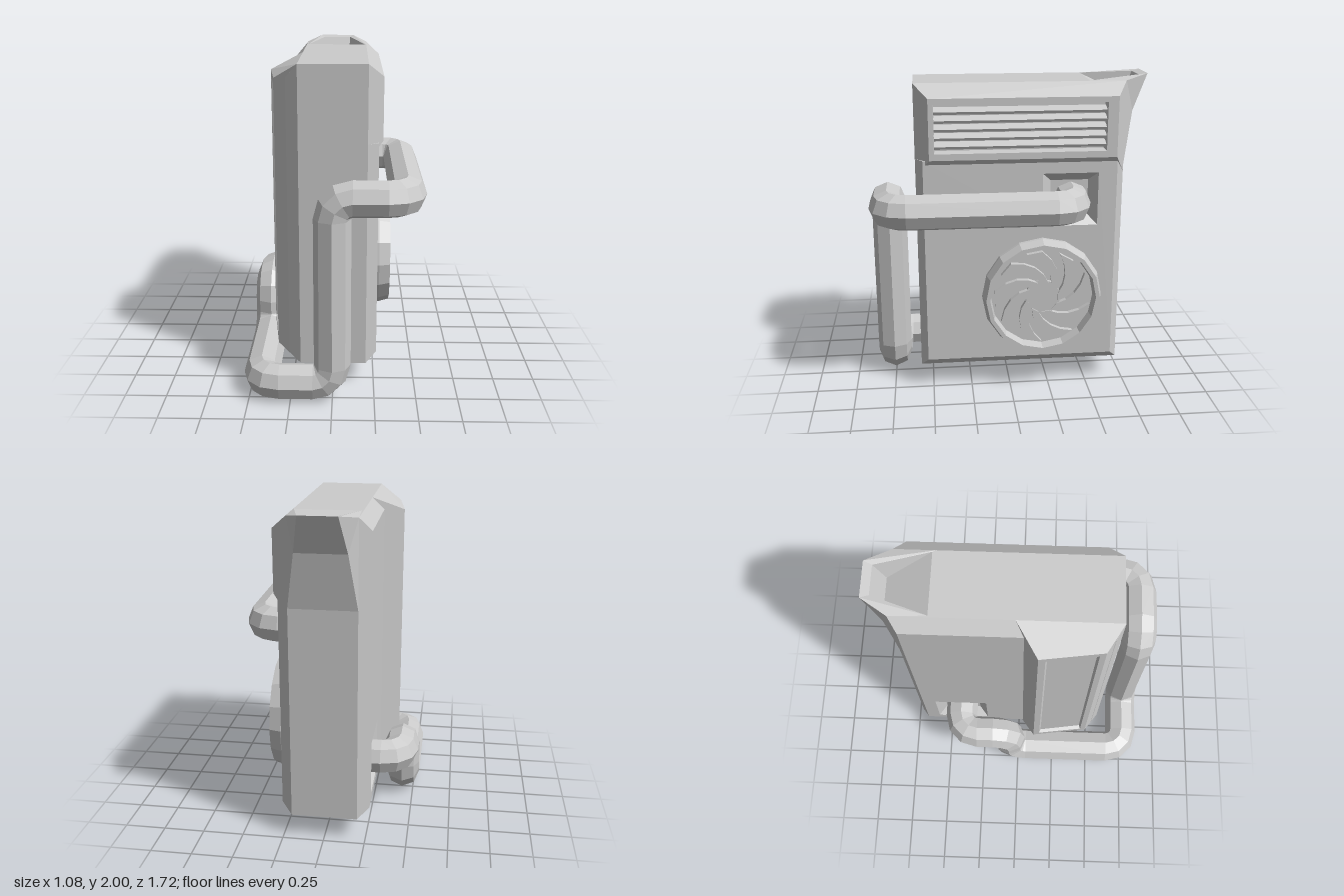
import * as THREE from 'three';

const material = new THREE.MeshStandardMaterial({ color: 0xcccccc, flatShading: true, side: THREE.DoubleSide });
const V = (x, y, z) => new THREE.Vector3(x, y, z);

function add(group, name, geometry) {
  const mesh = new THREE.Mesh(geometry, material);
  mesh.name = name;
  group.add(mesh);
  return mesh;
}

// Flat polygons, each split into a fan of triangles
function polygons(faces) {
  const points = [];
  for (const f of faces)
    for (let i = 1; i < f.length - 1; i++) points.push(f[0], f[i], f[i + 1]);
  const g = new THREE.BufferGeometry().setFromPoints(points);
  g.computeVertexNormals();
  return g;
}

// Skin over successive closed loops, optionally closed by the last loop
function loft(loops, cap = false) {
  const faces = [];
  for (let k = 0; k < loops.length - 1; k++) {
    const a = loops[k], b = loops[k + 1], n = a.length;
    for (let i = 0; i < n; i++) {
      const j = (i + 1) % n;
      faces.push([a[i], a[j], b[j], b[i]]);
    }
  }
  if (cap) faces.push(loops[loops.length - 1]);
  return polygons(faces);
}

// Upright rectangle facing sideways; xFront lets its front edge sit at another depth
function rect(x, z0, z1, y0, y1, xFront = x) {
  const loop = [V(xFront, y0, z1), V(x, y0, z0), V(x, y1, z0), V(xFront, y1, z1)];
  return x > 0 ? loop : loop.reverse();
}

const mirror = (face) => face.map((p) => V(-p.x, p.y, p.z)).reverse();

// Core faces with the pouring spout at the back of the top
function core() {
  const F = V(0.2, 1.97, -0.47), C = V(0.2, 1.97, -0.71);
  const low = V(0.2, 1.45, -0.71), mid = V(0.15, 1.78, -0.765), tip = V(0.11, 2, -0.86);
  const pitFront = V(0.19, 1.97, -0.49), pitBack = V(0.09, 1.99, -0.81), floor = V(0.08, 1.85, -0.75);
  const m = (p) => V(-p.x, p.y, p.z);
  const span = (a, b) => [a, m(a), m(b), b];
  const half = [
    [low, mid, C], [mid, tip, C],
    [F, C, tip, pitBack, pitFront],
    [pitFront, pitBack, floor],
  ];
  return polygons([
    ...half, ...half.map(mirror),
    span(V(0.2, 1.97, 0.575), V(0.2, 0.14, 0.575)),
    span(V(0.2, 0.14, 0.575), V(0.2, 0.14, -0.71)),
    span(V(0.2, 0.14, -0.71), low), span(low, mid), span(mid, tip),
    span(tip, pitBack), span(pitBack, floor), span(floor, pitFront),
    span(pitFront, F), span(F, V(0.2, 1.97, 0.575)),
  ]);
}

// Eight-sided pipe along straight runs with rounded corners
function pipe(corners, radius, bend, steps = 3) {
  const path = [];
  const dir = (i) => corners[i + 1].clone().sub(corners[i]).normalize();
  path.push([corners[0], dir(0)]);
  for (let i = 1; i < corners.length - 1; i++) {
    const d0 = dir(i - 1), d1 = dir(i);
    const centre = corners[i].clone().addScaledVector(d0, -bend).addScaledVector(d1, bend);
    for (let k = 0; k <= steps; k++) {
      const t = (k / steps) * Math.PI / 2, c = Math.cos(t), s = Math.sin(t);
      path.push([
        centre.clone().addScaledVector(d1, -bend * c).addScaledVector(d0, bend * s),
        d0.clone().multiplyScalar(c).addScaledVector(d1, s).normalize(),
      ]);
    }
  }
  path.push([corners[corners.length - 1], dir(corners.length - 2)]);
  const normal = V(0, 1, 0), turn = new THREE.Quaternion();
  let last = path[0][1];
  return loft(path.map(([p, t]) => {
    normal.applyQuaternion(turn.setFromUnitVectors(last, t));
    last = t;
    const side = t.clone().cross(normal);
    return Array.from({ length: 8 }, (_, k) => p.clone()
      .addScaledVector(normal, radius * Math.cos(k * Math.PI / 4))
      .addScaledVector(side, radius * Math.sin(k * Math.PI / 4)));
  }));
}

// One swept fan blade, drawn between two spiral edges
function bladeGeometry() {
  const edge = (offset) => [0, 0.25, 0.5, 0.75, 1].map((t) => {
    const r = 0.1 + 0.205 * t, a = 1.05 * Math.pow(t, 0.8) + offset * (1.15 - 0.35 * t);
    return new THREE.Vector2(r * Math.cos(a), r * Math.sin(a));
  });
  const shape = new THREE.Shape([...edge(-0.2), ...edge(0.2).reverse()]);
  return new THREE.ExtrudeGeometry(shape, { depth: 0.035, bevelEnabled: false });
}

export function createModel() {
  const model = new THREE.Group();
  model.name = 'backpackTank';

  add(model, 'bodyAndSpout', core());

  // Left side: lower plate with hose pocket, raised grille frame above
  add(model, 'lowerSidePlate', loft([
    rect(0.2, -0.71, 0.575, 0.14, 1.515), rect(0.265, -0.66, 0.53, 0.2, 1.515),
    rect(0.265, -0.545, -0.2, 1.085, 1.42), rect(0.21, -0.49, -0.255, 1.14, 1.365),
  ], true));
  add(model, 'grilleFrame', loft([
    rect(0.2, -0.71, 0.575, 1.412, 1.97), rect(0.29, -0.65, 0.49, 1.52, 1.89),
    rect(0.29, -0.585, 0.46, 1.56, 1.855), rect(0.215, -0.58, 0.455, 1.565, 1.85),
  ], true));
  for (let i = 0; i < 5; i++) {
    const slat = add(model, 'grilleSlat', new THREE.BoxGeometry(0.055, 0.018, 1.04));
    slat.position.set(0.248, 1.604 + i * 0.052, -0.0625);
    slat.rotation.z = -0.45;
  }

  // Right side: plate with hose pocket, slanted pod with a sunken panel
  add(model, 'rightSidePlate', loft([
    rect(-0.2, -0.71, 0.575, 0.14, 1.97), rect(-0.27, -0.66, 0.53, 0.2, 1.89),
    rect(-0.27, -0.575, -0.225, 0.25, 0.59), rect(-0.21, -0.52, -0.28, 0.305, 0.535),
  ], true));
  add(model, 'sidePod', loft([
    rect(-0.2, -0.017, 0.575, 0.14, 1.97), rect(-0.39, 0.11, 0.48, 0.23, 1.88, -0.34),
    rect(-0.385, 0.15, 0.445, 0.27, 1.84, -0.345), rect(-0.362, 0.16, 0.435, 0.28, 1.83, -0.322),
  ], true));

  // Round fan housing with swept blades
  const fan = new THREE.Group();
  fan.name = 'fan';
  fan.position.set(0, 0.63, -0.2);
  const profile = [[0.38, 0.25], [0.38, 0.29], [0.36, 0.36], [0.335, 0.36], [0.325, 0.29], [0, 0.29]];
  add(fan, 'fanHousing', new THREE.LatheGeometry(
    profile.map(([r, y]) => new THREE.Vector2(r, y)), 16).rotateZ(-Math.PI / 2));
  add(fan, 'fanHub', new THREE.CylinderGeometry(0.115, 0.115, 0.03, 9).rotateZ(-Math.PI / 2)).position.x = 0.3;
  const blade = bladeGeometry();
  for (let i = 0; i < 9; i++) {
    const g = blade.clone().rotateZ(i * Math.PI * 2 / 9).rotateY(Math.PI / 2);
    add(fan, 'fanBlade', g).position.x = 0.288;
  }
  model.add(fan);

  // Hose from the right pocket, round the front, into the left pocket
  add(model, 'hose', pipe([
    V(-0.2, 0.42, -0.4), V(-0.43, 0.42, -0.4), V(-0.43, 0.42, -0.06), V(-0.43, 0.11, -0.06),
    V(-0.43, 0.11, 0.75), V(0, 0.11, 0.75), V(0, 1.245, 0.75), V(0.43, 1.245, 0.75),
    V(0.43, 1.245, -0.38), V(0.2, 1.245, -0.38),
  ], 0.109, 0.115));

  return model;
}
